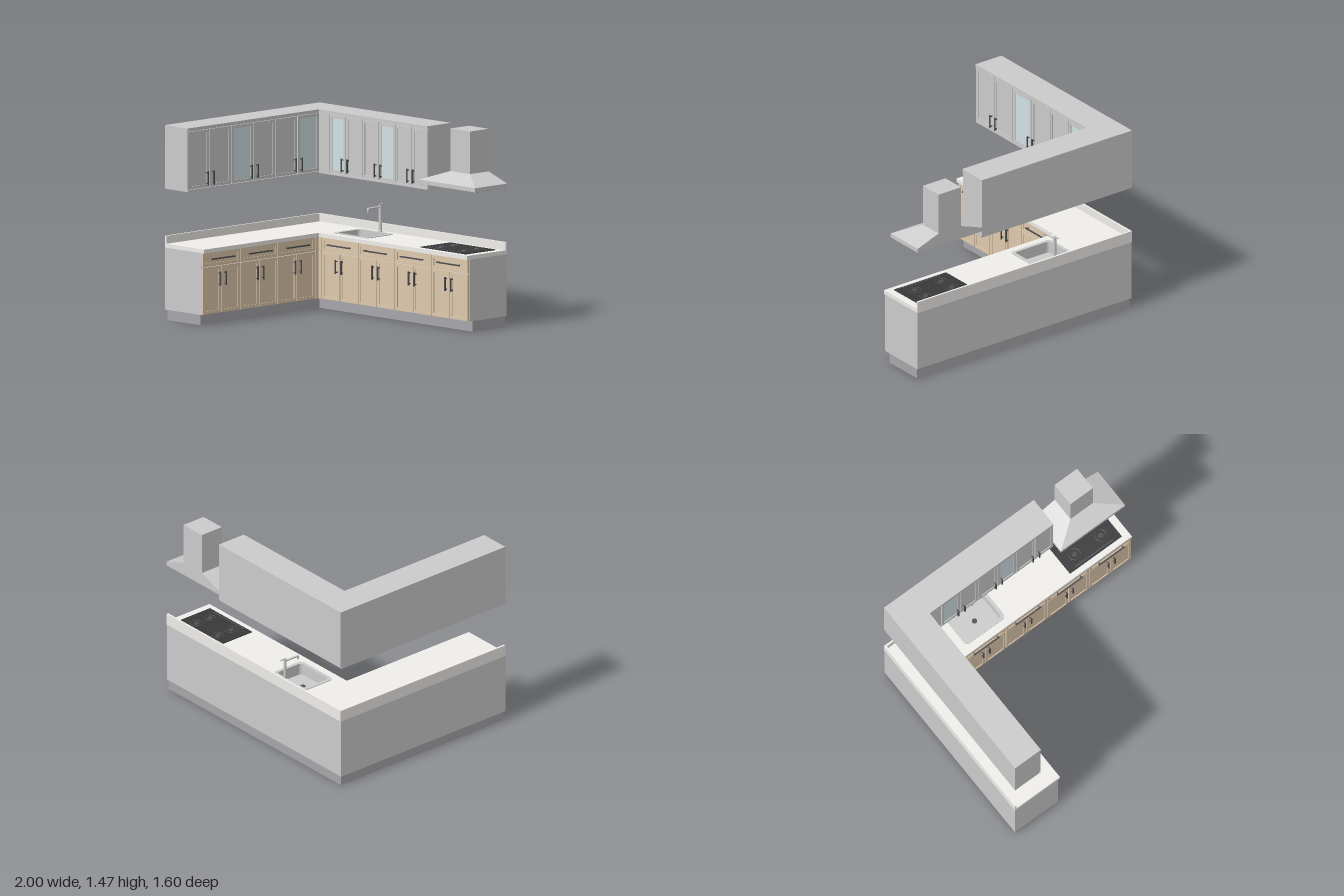
import * as THREE from 'three';

const mat = (color) => new THREE.MeshStandardMaterial({ color });
const M = {
  grey: mat(0xcccccc), wood: mat(0xdfc9ad), stone: mat(0xf0eeea), kick: mat(0xa7a7ab),
  glass: mat(0xd2e1e5), dark: mat(0x505052), black: mat(0x38383a), steel: mat(0xbfbfbf),
};

function add(parent, name, geometry, material, x = 0, y = 0, z = 0) {
  const mesh = new THREE.Mesh(geometry, material);
  mesh.name = name;
  mesh.position.set(x, y, z);
  parent.add(mesh);
  return mesh;
}

// Box given by its lower and upper corners
function box(parent, name, material, [x0, y0, z0], [x1, y1, z1]) {
  return add(parent, name, new THREE.BoxGeometry(x1 - x0, y1 - y0, z1 - z0), material,
    (x0 + x1) / 2, (y0 + y1) / 2, (z0 + z1) / 2);
}

function rect(path, x0, y0, x1, y1) {
  path.moveTo(x0, y0).lineTo(x1, y0).lineTo(x1, y1).lineTo(x0, y1).closePath();
  return path;
}

// Rounded rectangle on the floor plan; plan y is -z
function roundRect(path, x0, z0, x1, z1, r) {
  const a = -z1, b = -z0;
  path.moveTo(x0 + r, a).lineTo(x1 - r, a).absarc(x1 - r, a + r, r, -Math.PI / 2, 0);
  path.lineTo(x1, b - r).absarc(x1 - r, b - r, r, 0, Math.PI / 2);
  path.lineTo(x0 + r, b).absarc(x0 + r, b - r, r, Math.PI / 2, Math.PI);
  path.lineTo(x0, a + r).absarc(x0 + r, a + r, r, Math.PI, Math.PI * 1.5);
  return path;
}

// Raise a floor plan shape from y0 to y1
function raise(parent, name, material, shape, y0, y1, hole) {
  if (hole) shape.holes.push(hole);
  const g = new THREE.ExtrudeGeometry(shape, { depth: y1 - y0, bevelEnabled: false, curveSegments: 6 });
  return add(parent, name, g.rotateX(-Math.PI / 2), material, 0, y0, 0);
}

// L-shaped plan: back run ends at xEnd, left run ends at zEnd, inner corner at (xIn, zIn)
function ell(x0, z0, xEnd, zEnd, xIn, zIn) {
  const pts = [[x0, zEnd], [xIn, zEnd], [xIn, zIn], [xEnd, zIn], [xEnd, z0], [x0, z0]];
  return new THREE.Shape(pts.map(([x, z]) => new THREE.Vector2(x, -z)));
}

// Bar handle on two posts, standing on z = 0.015
function handle(parent, x, y, length, upright) {
  const g = new THREE.Group();
  g.name = 'handle';
  box(g, 'handleBar', M.dark, [-length / 2, -0.005, 0.015], [length / 2, 0.005, 0.023]);
  for (const s of [-1, 1]) {
    const p = s * (length / 2 - 0.012);
    box(g, 'handlePost', M.dark, [p - 0.004, -0.004, 0], [p + 0.004, 0.004, 0.016]);
  }
  g.position.set(x, y, 0.015);
  if (upright) g.rotation.z = Math.PI / 2;
  parent.add(g);
}

// Framed door or drawer front with a recessed panel
function front(parent, name, x0, x1, y0, y1, frameMat, panelMat) {
  const gap = 0.003, w = 0.025;
  const shape = rect(new THREE.Shape(), x0 + gap, y0 + gap, x1 - gap, y1 - gap);
  shape.holes.push(rect(new THREE.Path(), x0 + w, y0 + w, x1 - w, y1 - w));
  const g = new THREE.Group();
  g.name = name;
  add(g, 'frame', new THREE.ExtrudeGeometry(shape, { depth: 0.015, bevelEnabled: false }), frameMat);
  box(g, 'panel', panelMat, [x0 + w, y0 + w, 0], [x1 - w, y1 - w, 0.009]);
  parent.add(g);
}

// A run of fronts lies in its own x/y plane; the left run is turned to face +x
function run(parent, name, x, z, turned) {
  const g = new THREE.Group();
  g.name = name;
  g.position.set(x, 0, z);
  if (turned) g.rotation.y = Math.PI / 2;
  parent.add(g);
  return g;
}

function baseUnit(parent, x0, x1) {
  const mid = (x0 + x1) / 2;
  front(parent, 'drawer', x0, x1, 0.438, 0.545, M.wood, M.wood);
  handle(parent, mid, 0.495, 0.24, false);
  for (const s of [-1, 1]) {
    front(parent, 'baseDoor', Math.min(mid, mid + s * (x1 - mid)), Math.max(mid, mid + s * (x1 - mid)),
      0.08, 0.438, M.wood, M.wood);
    handle(parent, mid + s * 0.03, 0.34, 0.105, true);
  }
}

function upperDoors(parent, edges, glazed, handles) {
  for (let i = 0; i < edges.length - 1; i++) {
    front(parent, glazed.includes(i) ? 'glassDoor' : 'upperDoor', edges[i], edges[i + 1], 1.0, 1.44,
      M.grey, glazed.includes(i) ? M.glass : M.grey);
  }
  for (const c of handles) for (const s of [-1, 1]) handle(parent, c + s * 0.03, 1.073, 0.105, true);
}

function buildBase(root) {
  const bowl = () => roundRect(new THREE.Path(), -0.48, -0.71, -0.15, -0.465, 0.03);
  raise(root, 'toeKick', M.kick, ell(-0.985, -0.785, 0.995, 0.785, -0.635, -0.445), 0, 0.08);
  raise(root, 'baseCarcass', M.grey, ell(-1, -0.795, 1, 0.8, -0.61, -0.41), 0.08, 0.545, bowl());
  raise(root, 'countertop', M.stone, ell(-1, -0.8, 1, 0.8, -0.58, -0.385), 0.545, 0.575, bowl());
  raise(root, 'backsplash', M.stone, ell(-1, -0.8, 1, 0.8, -0.985, -0.785), 0.575, 0.635);

  const back = run(root, 'backBaseFronts', 0, -0.41, false);
  const left = run(root, 'leftBaseFronts', -0.61, 0, true);
  for (let i = 0; i < 4; i++) baseUnit(back, -0.56 + i * 0.39, -0.17 + i * 0.39);
  for (let i = 0; i < 3; i++) baseUnit(left, -0.8 + i * 0.388, -0.412 + i * 0.388);
  // Corner fillers
  box(back, 'cornerFiller', M.wood, [-0.61, 0.08, 0], [-0.563, 0.545, 0.013]);
  box(left, 'cornerFiller', M.wood, [0.367, 0.08, 0], [0.41, 0.545, 0.013]);
}

function buildUpper(root) {
  raise(root, 'upperCarcass', M.grey, ell(-1, -0.8, 0.4, 0.8, -0.775, -0.575), 1.0, 1.44);
  raise(root, 'upperTop', M.grey, ell(-1, -0.8, 0.4, 0.8, -0.758, -0.558), 1.44, 1.465);
  raise(root, 'upperBottom', M.grey, ell(-1, -0.79, 0.4, 0.8, -0.76, -0.56), 0.987, 1.0);
  const back = run(root, 'backUpperFronts', 0, -0.575, false);
  upperDoors(back, [-0.647, -0.472, -0.297, -0.122, 0.053, 0.227, 0.4], [0, 3], [-0.472, -0.122, 0.227]);
  box(back, 'cornerFiller', M.grey, [-0.775, 1.0, 0], [-0.65, 1.44, 0.013]);
  const left = run(root, 'leftUpperFronts', -0.775, 0, true);
  upperDoors(left, [-0.8, -0.573, -0.345, -0.117, 0.11, 0.338, 0.565], [2, 5], [-0.573, -0.117, 0.338]);
}

function buildSink(root) {
  const g = new THREE.Group();
  g.name = 'sink';
  const inner = () => roundRect(new THREE.Path(), -0.474, -0.704, -0.156, -0.471, 0.026);
  const outer = () => roundRect(new THREE.Shape(), -0.48, -0.71, -0.15, -0.465, 0.03);
  raise(g, 'sinkRim', M.steel, roundRect(new THREE.Shape(), -0.5, -0.73, -0.13, -0.447, 0.035), 0.575, 0.58, inner());
  raise(g, 'sinkWall', M.steel, outer(), 0.49, 0.576, inner());
  raise(g, 'sinkFloor', M.steel, outer(), 0.484, 0.49);
  add(g, 'drain', new THREE.CylinderGeometry(0.02, 0.02, 0.004, 20), M.dark, -0.315, 0.492, -0.59);
  // Faucet: column, bent spout and lever
  add(g, 'faucetBase', new THREE.CylinderGeometry(0.018, 0.018, 0.008, 20), M.steel, -0.31, 0.579, -0.758);
  add(g, 'faucetColumn', new THREE.CylinderGeometry(0.012, 0.012, 0.2, 20), M.steel, -0.31, 0.675, -0.758);
  const v = (y, z) => new THREE.Vector3(-0.31, y, z);
  const path = new THREE.CurvePath();
  path.add(new THREE.LineCurve3(v(0.76, -0.758), v(0.76, -0.645)));
  path.add(new THREE.QuadraticBezierCurve3(v(0.76, -0.645), v(0.76, -0.63), v(0.748, -0.63)));
  path.add(new THREE.LineCurve3(v(0.748, -0.63), v(0.733, -0.63)));
  const spout = add(g, 'faucetSpout', new THREE.TubeGeometry(path, 40, 0.008, 12), M.steel);
  spout.material = mat(0xbfbfbf);
  spout.material.side = THREE.DoubleSide;
  box(g, 'faucetLever', M.steel, [-0.315, 0.775, -0.803], [-0.305, 0.782, -0.752]);
  root.add(g);
}

function buildCooktop(root) {
  const g = new THREE.Group();
  g.name = 'cooktop';
  box(g, 'cooktopPlate', M.black, [0.455, 0.575, -0.74], [0.94, 0.58, -0.43]);
  for (const x of [0.575, 0.82]) for (const z of [-0.66, -0.53]) {
    add(g, 'burnerRing', new THREE.TorusGeometry(0.045, 0.003, 6, 28).rotateX(Math.PI / 2), M.dark, x, 0.581, z);
    add(g, 'burnerCap', new THREE.CylinderGeometry(0.02, 0.022, 0.005, 20), M.dark, x, 0.582, z);
  }
  box(g, 'controlStrip', M.dark, [0.52, 0.58, -0.455], [0.87, 0.582, -0.443]);
  root.add(g);
}

function buildHood(root) {
  const g = new THREE.Group();
  g.name = 'rangeHood';
  box(g, 'hoodRim', M.grey, [0.4, 1.043, -0.8], [1, 1.075, -0.468]);
  box(g, 'hoodFilter', M.black, [0.412, 1.04, -0.788], [0.988, 1.044, -0.48]);
  // Canopy: a box whose upper corners are drawn in to the chimney
  const canopy = new THREE.BoxGeometry(0.6, 0.07, 0.332).translate(0.7, 1.11, -0.634);
  const p = canopy.attributes.position;
  for (let i = 0; i < p.count; i++) {
    if (p.getY(i) < 1.11) continue;
    p.setX(i, p.getX(i) > 0.7 ? 0.805 : 0.595);
    p.setZ(i, p.getZ(i) > -0.634 ? -0.607 : -0.8);
  }
  canopy.computeVertexNormals();
  add(g, 'hoodCanopy', canopy, M.grey);
  box(g, 'hoodChimney', M.grey, [0.595, 1.145, -0.8], [0.805, 1.465, -0.607]);
  root.add(g);
}

export function createModel() {
  const root = new THREE.Group();
  root.name = 'cornerKitchen';
  for (const build of [buildBase, buildUpper, buildSink, buildCooktop, buildHood]) build(root);
  return root;
}
